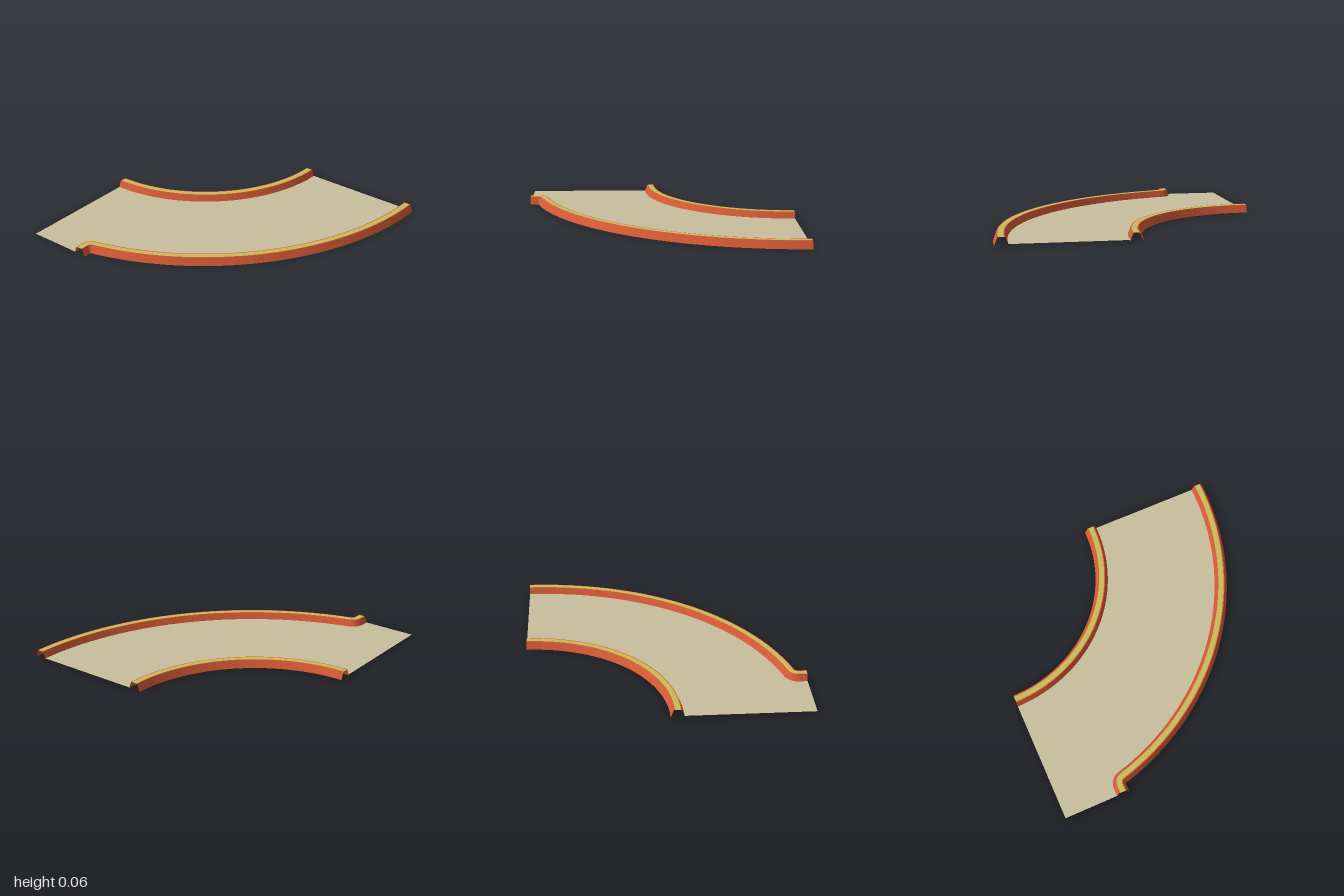
import * as THREE from 'three';

const HEIGHT = 0.056, WIDTH = 0.097, FLOOR_Y = 0.008;

// Kerb cross-section: [offset across, height]
const SECTION = [[0, 0], [0.022, HEIGHT], [0.029, HEIGHT], [0.068, HEIGHT], [0.075, HEIGHT], [WIDTH, 0]];

const mat = (name, color) => new THREE.MeshStandardMaterial({ name, color, side: THREE.DoubleSide });

// Stations along a kerb: each maps an offset to an [x, z] point
function arcStations(radius, end, steps) {
  return Array.from({ length: steps + 1 }, (_, i) => {
    const a = end * i / steps;
    return o => [-1 + (radius + o) * Math.cos(a), -1 + (radius + o) * Math.sin(a)];
  });
}

// Arc that rounds a corner and ends in a short straight stub
function outerStations() {
  const radius = 1.903, pivot = 0.103, cx = -0.5;
  const end = Math.acos((cx + 1) / (radius + pivot));
  const cz = -1 + (radius + pivot) * Math.sin(end);
  const list = arcStations(radius, end, 48);
  for (let i = 1; i <= 10; i++) {
    const a = end * (1 - i / 10);
    list.push(o => [cx - (pivot - o) * Math.cos(a), cz - (pivot - o) * Math.sin(a)]);
  }
  list.push(o => [cx - pivot + o, 1]);
  return list;
}

// One smooth strip between two neighbouring section points
function strip(stations, p, q) {
  const pos = [], index = [];
  stations.forEach((at, i) => {
    for (const [o, y] of [p, q]) {
      const [x, z] = at(o);
      pos.push(x, y, z);
    }
    if (i) {
      const b = i * 2;
      index.push(b - 2, b, b - 1, b - 1, b, b + 1);
    }
  });
  const g = new THREE.BufferGeometry();
  g.setAttribute('position', new THREE.Float32BufferAttribute(pos, 3));
  g.setIndex(index);
  // Keep the visible side outward
  const n = new THREE.Vector3(), v = [0, 1, 2].map(k => new THREE.Vector3().fromArray(pos, index[k] * 3));
  new THREE.Triangle(...v).getNormal(n);
  if (n.y < 0) g.setIndex(index.reverse());
  g.computeVertexNormals();
  return g;
}

function kerb(name, stations, red, yellow) {
  const group = new THREE.Group();
  group.name = name;
  const names = ['innerSlope', 'innerLip', 'topStripe', 'outerLip', 'outerSlope'];
  names.forEach((part, i) => {
    const mesh = new THREE.Mesh(strip(stations, SECTION[i], SECTION[i + 1]), i === 2 ? yellow : red);
    mesh.name = part;
    group.add(mesh);
  });
  return group;
}

export function createModel() {
  const red = mat('kerbRed', 0xd95b36);
  const yellow = mat('stripeYellow', 0xcabb58);
  const sand = mat('floorSand', 0xc9bf9f);

  const model = new THREE.Group();
  model.name = 'curvedTrackPiece';
  const inner = arcStations(1.0, Math.PI / 2, 40);
  const outer = outerStations();
  model.add(kerb('innerKerb', inner, red, yellow), kerb('outerKerb', outer, red, yellow));

  // Floor sheet meeting the foot of both kerbs
  const outline = [
    ...outer.map(at => at(0.003)),
    [-1, 1],
    ...inner.map(at => at(WIDTH - 0.003)).reverse(),
  ].map(([x, z]) => new THREE.Vector2(x, -z));
  const floorGeo = new THREE.ShapeGeometry(new THREE.Shape(outline));
  floorGeo.rotateX(-Math.PI / 2);
  const floor = new THREE.Mesh(floorGeo, sand);
  floor.name = 'floor';
  floor.position.y = FLOOR_Y;
  model.add(floor);
  return model;
}
